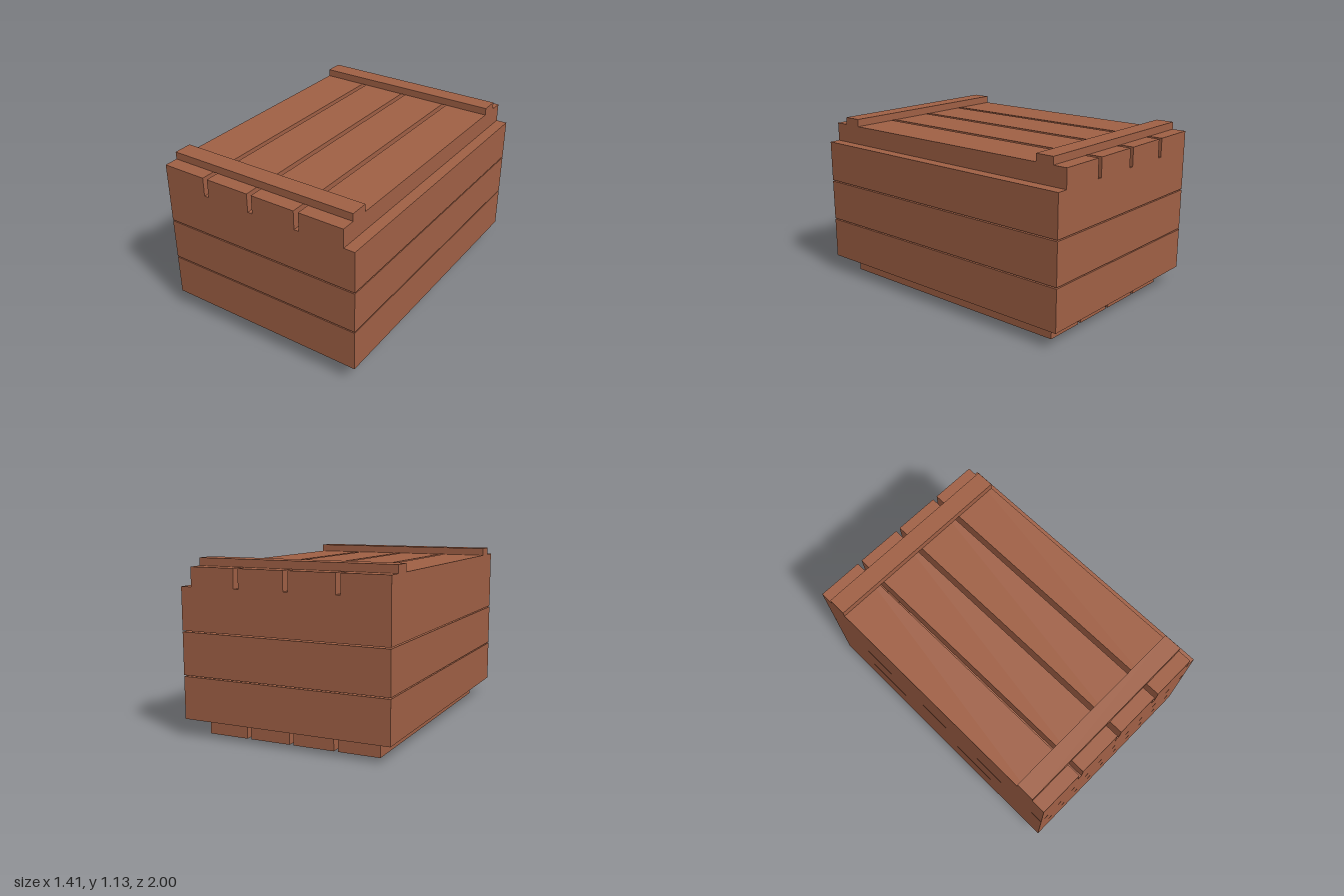
import * as THREE from 'three';

export function createModel() {
  const crate = new THREE.Group();
  crate.name = 'crate';
  const wood = new THREE.MeshStandardMaterial({ color: 0xa06045 });
  wood.name = 'brown wood';

  // Board given by its lower and upper limits on each axis
  function board(name, x0, x1, y0, y1, z0, z1) {
    const mesh = new THREE.Mesh(new THREE.BoxGeometry(x1 - x0, y1 - y0, z1 - z0), wood);
    mesh.position.set((x0 + x1) / 2, (y0 + y1) / 2, (z0 + z1) / 2);
    mesh.name = name;
    crate.add(mesh);
  }

  // Board placed at both the low and high end of z
  function boardPair(name, x0, x1, y0, y1, z0, z1) {
    board(name, x0, x1, y0, y1, z0, z1);
    board(name, x0, x1, y0, y1, -z1, -z0);
  }

  const W = 0.705, D = 1, innerW = 0.595, innerD = 0.885;
  const base = 0.113, rim = 0.96;

  // Floor slats, running front to back
  for (let i = 0; i < 4; i++) {
    const x = -innerW + i * 0.304;
    board('floorSlat', x, x + 0.277, 0, base, -innerD, innerD);
  }

  // Three rows of wall planks
  for (let i = 0; i < 3; i++) {
    const y0 = base + i * 0.285, y1 = y0 + 0.277;
    boardPair('endPlank', -W, W, y0, y1, innerD, D);
    for (const s of [-1, 1]) {
      const a = s * innerW, b = s * W;
      board('sidePlank', Math.min(a, b), Math.max(a, b), y0, y1, -innerD, innerD);
    }
  }

  // Corner posts inside the walls
  boardPair('cornerPost', -innerW, -0.485, base, rim, 0.78, innerD);
  boardPair('cornerPost', 0.485, innerW, base, rim, 0.78, innerD);

  // Lid boards, set slightly to one side
  for (let i = 0; i < 4; i++) {
    const x = -W + i * 0.342;
    board('lidBoard', x, x + 0.309, rim, 1.085, -D, D);
  }

  // Battens across the lid
  boardPair('lidBatten', -W, 0.63, 1.085, 1.135, 0.78, 0.905);

  return crate;
}
